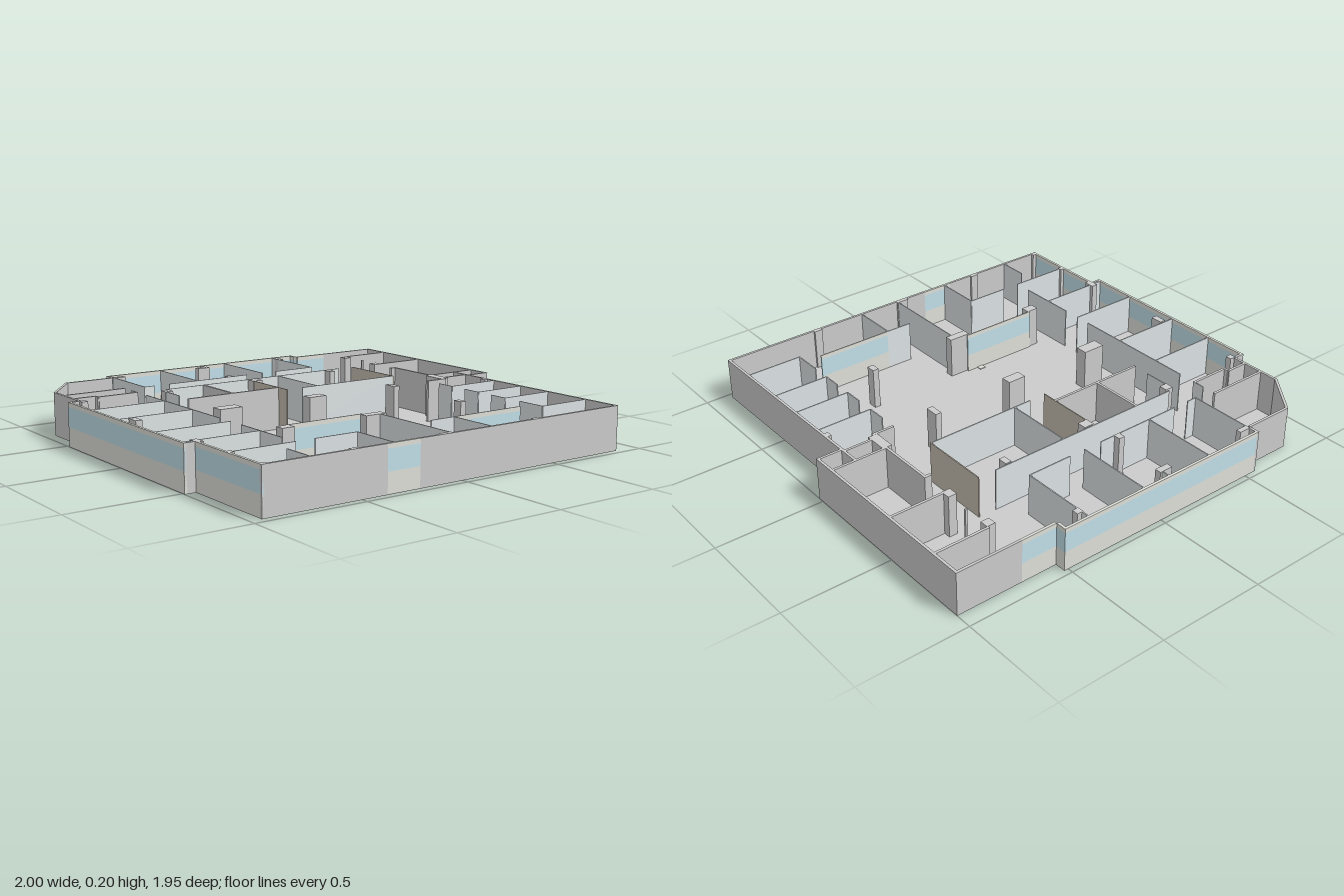
import * as THREE from 'three';

const H = 0.2, FLOOR = 0.004;
const mat = (color) => new THREE.MeshStandardMaterial({ color });

export function createModel() {
  const model = new THREE.Group();
  const grey = mat(0xcccccc), panel = mat(0xdde3e5), beige = mat(0xc4beb0);
  const glass = mat(0xc2e0ea), sill = mat(0xe0e0da);

  // Upright slab between two plan points, from y0 to y1
  function slab(parent, name, x1, z1, x2, z2, t, y0, y1, material) {
    const len = Math.hypot(x2 - x1, z2 - z1);
    const m = new THREE.Mesh(new THREE.BoxGeometry(len, y1 - y0, t), material);
    m.name = name;
    m.position.set((x1 + x2) / 2, (y0 + y1) / 2, (z1 + z2) / 2);
    m.rotation.y = -Math.atan2(z2 - z1, x2 - x1);
    parent.add(m);
  }
  // Wall with a glazed band between a low parapet and a head rail
  function windowWall(parent, name, x1, z1, x2, z2, t) {
    slab(parent, name + 'Sill', x1, z1, x2, z2, t, 0, 0.09, sill);
    slab(parent, name + 'Glass', x1, z1, x2, z2, t, 0.09, 0.18, glass);
    slab(parent, name + 'Head', x1, z1, x2, z2, t, 0.18, H, sill);
  }
  function group(name) {
    const g = new THREE.Group();
    g.name = name;
    model.add(g);
    return g;
  }

  // Outline corners x, z; a third value of 1 glazes the wall that follows
  const outline = [
    [-0.95, 0.97], [-0.38, 0.97, 1], [-0.22, 0.97], [0.885, 0.97], [0.885, 0.025],
    [1, 0.025], [1, -0.925], [0.69, -0.925, 1], [0.52, -0.925, 1], [0.52, -0.975, 1],
    [-0.56, -0.975], [-0.56, -0.925], [-0.8, -0.925], [-0.95, -0.73], [-0.95, -0.48],
    [-1, -0.48, 1], [-1, 0.515], [-0.95, 0.515, 1],
  ];

  // Floor plate
  const shape = new THREE.Shape(outline.map(([x, z]) => new THREE.Vector2(x, z)));
  const floorGeo = new THREE.ExtrudeGeometry(shape, { depth: FLOOR, bevelEnabled: false });
  floorGeo.rotateX(Math.PI / 2).translate(0, FLOOR, 0);
  const floor = new THREE.Mesh(floorGeo, grey);
  floor.name = 'floor';
  model.add(floor);

  // Outer walls, set inward from the outline
  const outer = group('outerWalls');
  const T = 0.012;
  outline.forEach(([x1, z1, glazed], i) => {
    const [x2, z2] = outline[(i + 1) % outline.length];
    const len = Math.hypot(x2 - x1, z2 - z1);
    const ox = (z2 - z1) / len * T / 2, oz = -(x2 - x1) / len * T / 2;
    const ends = [x1 + ox, z1 + oz, x2 + ox, z2 + oz, T];
    if (glazed) windowWall(outer, 'window', ...ends);
    else slab(outer, 'outerWall', ...ends, 0, H, grey);
  });

  // Thin partitions: x1, z1, x2, z2
  const partitions = group('partitions');
  [
    // back rooms
    [-0.55, -0.925, -0.55, -0.61], [-0.268, -0.965, -0.268, -0.61], [0.1, -0.965, 0.1, -0.61],
    [0.395, -0.965, 0.395, -0.61], [-0.55, -0.612, -0.5, -0.612], [-0.42, -0.612, 0.01, -0.612],
    [0.18, -0.612, 0.395, -0.612], [-0.037, -0.965, -0.037, -0.92],
    // rooms along the -x side
    [-0.642, -0.57, -0.642, -0.51], [-0.642, -0.425, -0.642, 0.2], [-0.642, 0.36, -0.642, 0.65],
    [-0.99, -0.265, -0.64, -0.265], [-0.99, -0.025, -0.64, -0.025], [-0.99, 0.275, -0.64, 0.275],
    [-0.99, 0.495, -0.64, 0.495], [-0.94, 0.735, -0.64, 0.735], [-0.735, 0.815, -0.735, 0.96],
    // front rooms
    [-0.55, 0.735, -0.345, 0.735], [-0.345, 0.735, -0.345, 0.96], [-0.055, 0.515, -0.055, 0.96],
    [0.03, 0.737, 0.16, 0.737], [0.155, 0.737, 0.155, 0.96],
    // middle rooms
    [-0.5, -0.498, 0.48, -0.498], [-0.53, -0.45, -0.53, -0.33],
    [0.03, -0.174, 0.565, -0.174], [0.117, -0.498, 0.117, -0.174],
  ].forEach((p) => slab(partitions, 'partition', ...p, 0.005, 0, H, panel));
  [[-0.055, -0.498, -0.055, -0.17], [0.565, -0.498, 0.565, -0.17]]
    .forEach((p) => slab(partitions, 'beigePartition', ...p, 0.005, 0, H, beige));
  windowWall(partitions, 'frontGlazing', 0.16, 0.737, 0.53, 0.737, 0.005);
  windowWall(partitions, 'middleGlazing', -0.5, 0.467, -0.115, 0.467, 0.005);

  // Row of small offices on the +x side
  for (const [z0, z1] of [[0.115, 0.205], [0.295, 0.385], [0.47, 0.56], [0.65, 0.79]]) {
    slab(partitions, 'officeFront', 0.612, z0, 0.612, z1, 0.005, 0, H, panel);
    slab(partitions, 'officeDivider', 0.612, z1, 0.875, z1, 0.005, 0, H, panel);
  }

  // Thicker inner walls
  const inner = group('innerWalls');
  [
    [-0.94, -0.637, -0.64, -0.637], [-0.94, -0.54, -0.835, -0.54], [-0.835, -0.54, -0.835, -0.513],
    [-0.835, -0.515, -0.64, -0.515], [-0.535, -0.243, -0.055, -0.243], [-0.302, -0.498, -0.302, -0.243],
    [0.735, -0.78, 0.99, -0.78], [0.735, -0.492, 0.99, -0.492], [0.728, -0.365, 0.728, -0.085],
    [0.728, -0.085, 0.99, -0.085], [0.879, -0.085, 0.879, 0.025], [0.735, 0.003, 0.885, 0.003],
    [0.612, 0.032, 0.72, 0.032],
  ].forEach((p) => slab(inner, 'innerWall', ...p, 0.012, 0, H, grey));

  // Columns and wall piers: x1, x2, z1, z2
  const columns = group('columns');
  [
    [-0.55, -0.44, -0.01, 0.05], [-0.085, 0.005, 0, 0.05], [0.39, 0.42, -0.01, 0.055],
    [-0.55, -0.49, 0.47, 0.515], [-0.13, -0.025, 0.475, 0.515], [0.39, 0.42, 0.47, 0.515],
    [-0.535, -0.495, -0.485, -0.445], [-0.06, -0.01, -0.49, -0.445], [0.39, 0.42, -0.49, -0.445],
    [-0.55, -0.495, -0.93, -0.905], [-0.09, -0.025, -0.93, -0.9], [0.39, 0.42, -0.93, -0.9],
    [-0.095, -0.065, -0.645, -0.612], [-0.95, -0.92, -0.475, -0.445], [-0.95, -0.92, -0.015, 0.045],
    [-0.95, -0.92, 0.475, 0.53], [-0.94, -0.92, 0.72, 0.745], [-0.94, -0.92, 0.945, 0.96],
    [-0.55, -0.51, 0.948, 0.96], [-0.11, -0.05, 0.948, 0.96], [0.39, 0.43, 0.948, 0.96],
    [0.7, 0.74, -0.775, -0.735], [0.7, 0.74, -0.53, -0.485], [0.7, 0.735, -0.365, -0.35],
    [0.7, 0.745, -0.085, 0.025], [0.855, 0.875, 0.135, 0.165], [0.73, 0.74, -0.64, -0.63],
  ].forEach(([x1, x2, z1, z2]) =>
    slab(columns, 'column', x1, (z1 + z2) / 2, x2, (z1 + z2) / 2, z2 - z1, 0, H, grey));

  // Pale floor panel beside the glazed partition
  slab(model, 'floorPanel', -0.2, 0.49, -0.17, 0.49, 0.1, 0, 0.008, sill);
  return model;
}
